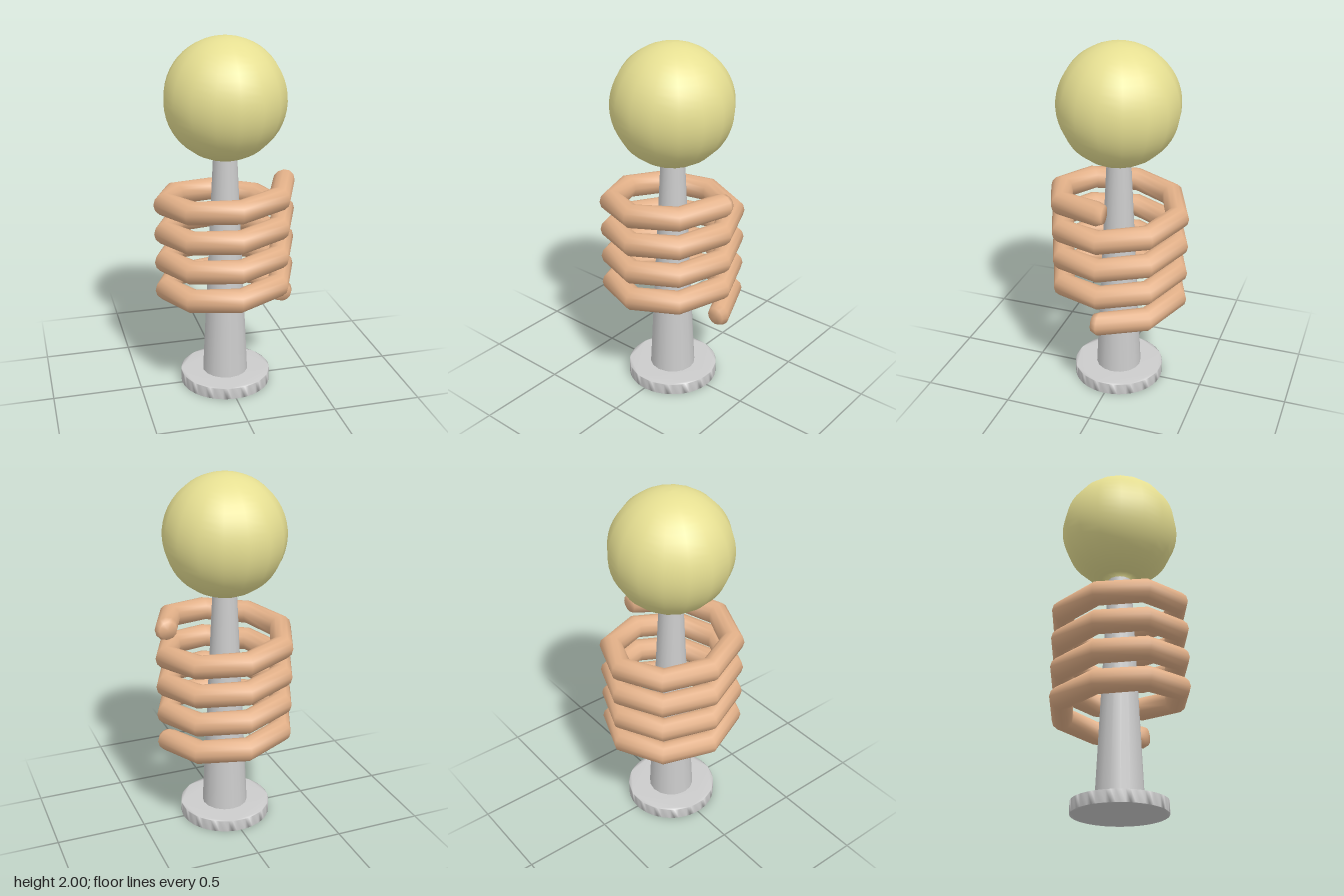
import * as THREE from 'three';
import { mergeVertices } from 'three/addons/utils/BufferGeometryUtils.js';

function part(name, geometry, color) {
  const mesh = new THREE.Mesh(geometry, new THREE.MeshStandardMaterial({ color }));
  mesh.name = name;
  return mesh;
}

// Disc with softened shading across its rim
function baseGeometry() {
  const outline = new THREE.Shape().absarc(0, 0, 0.257, 0, Math.PI * 2);
  const disc = new THREE.ExtrudeGeometry(outline, { depth: 0.066, bevelEnabled: false, curveSegments: 32 });
  disc.rotateX(-Math.PI / 2);
  disc.deleteAttribute('normal');
  disc.deleteAttribute('uv');
  const smooth = mergeVertices(disc);
  smooth.computeVertexNormals();
  return smooth;
}

// Ball whose open underside flares into a collar inside the post
function ballGeometry() {
  const radius = 0.332, centre = 2 - radius, neck = 0.066, count = 24;
  const start = Math.asin(neck / radius);
  const profile = [new THREE.Vector2(neck, 1.25)];
  for (let i = 0; i <= count; i++) {
    const a = start + (i / count) * (Math.PI - start);
    profile.push(new THREE.Vector2(Math.max(0, radius * Math.sin(a)), centre - radius * Math.cos(a)));
  }
  return new THREE.LatheGeometry(profile, 16);
}

// Octagonal helix of round tube, rising from +x round the back, with chamfered ends
function coilGeometry() {
  const turns = 4, perTurn = 8, tubeSides = 12;
  const radius = 0.335, tube = 0.065, bottom = 0.52, pitch = 0.167;
  const steps = turns * perTurn;
  const rings = [{ step: 0, r: 0, z: 0.035 }, { step: 0, r: 0.05, z: 0.035 }];
  for (let step = 0; step <= steps; step++) rings.push({ step, r: tube, z: 0 });
  rings.push({ step: steps, r: 0.05, z: -0.035 }, { step: steps, r: 0, z: -0.035 });

  const positions = [], index = [];
  rings.forEach(({ step, r, z }, i) => {
    const a = (step / perTurn) * Math.PI * 2;
    const y = bottom + (step / perTurn) * pitch;
    for (let j = 0; j < tubeSides; j++) {
      const t = (j / tubeSides) * Math.PI * 2;
      const d = radius + r * Math.cos(t);
      positions.push(d * Math.cos(a), y + r * Math.sin(t), z - d * Math.sin(a));
      if (i === 0) continue;
      const k = (j + 1) % tubeSides;
      const p = (i - 1) * tubeSides, q = i * tubeSides;
      index.push(p + j, q + j, p + k, p + k, q + j, q + k);
    }
  });
  const geometry = new THREE.BufferGeometry();
  geometry.setAttribute('position', new THREE.Float32BufferAttribute(positions, 3));
  geometry.setIndex(index);
  geometry.computeVertexNormals();
  return geometry;
}

export function createModel() {
  const group = new THREE.Group();

  group.add(part('base', baseGeometry(), 0xcccccc));

  // Tapering post from the disc up into the ball
  const post = new THREE.CylinderGeometry(0.066, 0.13, 1.294, 16, 1, true);
  post.translate(0, 0.066 + 1.294 / 2, 0);
  group.add(part('post', post, 0xcccccc));

  group.add(part('ball', ballGeometry(), 0xe6df92));
  group.add(part('coil', coilGeometry(), 0xe2b088));

  return group;
}
